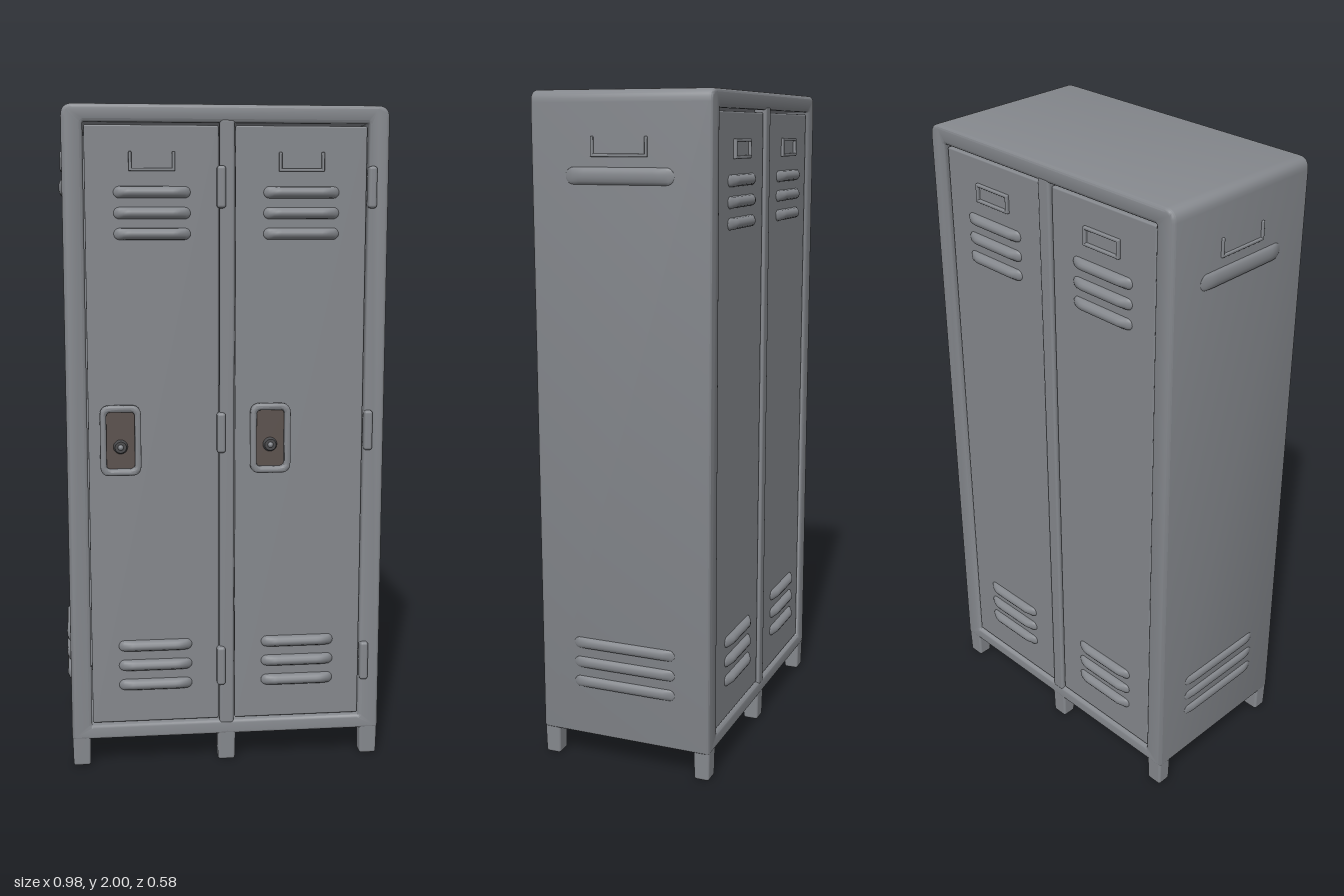
import * as THREE from 'three';
import { toCreasedNormals } from 'three/addons/utils/BufferGeometryUtils.js';
import { RoundedBoxGeometry } from 'three/addons/geometries/RoundedBoxGeometry.js';

const steel = new THREE.MeshStandardMaterial({ color: 0x85888d });
steel.name = 'grey steel';
const recess = new THREE.MeshStandardMaterial({ color: 0x5c524e });
recess.name = 'brown recess';
const dark = new THREE.MeshStandardMaterial({ color: 0x4a4a4c });
dark.name = 'dark knob';

function add(parent, name, geometry, material, x = 0, y = 0, z = 0) {
  const mesh = new THREE.Mesh(geometry, material);
  mesh.name = name;
  mesh.position.set(x, y, z);
  parent.add(mesh);
  return mesh;
}

// Rounded rectangle outline centred on (0, cy)
function roundedRect(Type, w, h, rTop, rBottom = rTop, cy = 0) {
  const s = new Type(), x = w / 2, b = cy - h / 2, t = cy + h / 2;
  s.moveTo(-x + rBottom, b);
  s.lineTo(x - rBottom, b);
  s.quadraticCurveTo(x, b, x, b + rBottom);
  s.lineTo(x, t - rTop);
  s.quadraticCurveTo(x, t, x - rTop, t);
  s.lineTo(-x + rTop, t);
  s.quadraticCurveTo(-x, t, -x, t - rTop);
  s.lineTo(-x, b + rBottom);
  s.quadraticCurveTo(-x, b, -x + rBottom, b);
  return s;
}

// Bevelled extrusion from z = 0 to z = depth that keeps the drawn outline
function extrude(shape, depth, bevel) {
  const g = new THREE.ExtrudeGeometry(shape, {
    depth: depth - 2 * bevel, bevelThickness: bevel, bevelSize: bevel,
    bevelOffset: -bevel, bevelSegments: 3, curveSegments: 6,
  });
  g.translate(0, 0, bevel);
  return toCreasedNormals(g, 0.7);
}

// Pressed louvre: a flattened pill whose depth ramps down at both ends
function louvreGeometry(w, h, depth) {
  const g = new THREE.CapsuleGeometry(h / 2, w - h, 5, 14, 16);
  g.rotateZ(Math.PI / 2);
  const p = g.attributes.position;
  for (let i = 0; i < p.count; i++) {
    const ramp = Math.min(1, (w / 2 - Math.abs(p.getX(i))) / 0.05 + 0.25);
    p.setZ(i, (p.getZ(i) / (h / 2)) * depth * ramp);
  }
  g.computeVertexNormals();
  return g;
}

function addLouvres(parent, x, heights, w, h, depth) {
  const g = louvreGeometry(w, h, depth);
  for (const y of heights) add(parent, 'louvre', g, steel, x, y, 0);
}

// Label holder: open-topped, or a full frame when closed
function addLabelHolder(parent, x, y, w, depth, closed) {
  const holder = new THREE.Group();
  holder.name = 'labelHolder';
  holder.position.set(x, y, 0);
  const h = 0.056, t = 0.009;
  const bar = new RoundedBoxGeometry(w, t, depth * 2, 2, 0.003);
  const post = new RoundedBoxGeometry(t, h, depth * 2, 2, 0.003);
  add(holder, 'holderBottom', bar, steel, 0, -h / 2 + t / 2);
  if (closed) add(holder, 'holderTop', bar, steel, 0, h / 2 - t / 2);
  for (const s of [-1, 1]) add(holder, 'holderSide', post, steel, s * (w - t) / 2);
  parent.add(holder);
}

function addHandle(door, x, y) {
  const handle = new THREE.Group();
  handle.name = 'handle';
  handle.position.set(x, y, 0);
  const rim = roundedRect(THREE.Shape, 0.122, 0.212, 0.03);
  rim.holes.push(roundedRect(THREE.Path, 0.084, 0.172, 0.014));
  add(handle, 'handleRim', extrude(rim, 0.028, 0.008), steel);
  add(handle, 'handleRecess', new THREE.BoxGeometry(0.092, 0.18, 0.008), recess, 0, 0, 0.004);
  const knob = new THREE.CylinderGeometry(0.017, 0.022, 0.014, 20).rotateX(Math.PI / 2);
  add(handle, 'knob', knob, dark, 0, -0.02, 0.014);
  const button = new THREE.SphereGeometry(0.009, 14, 8);
  add(handle, 'knobButton', button, steel, 0, -0.02, 0.019);
  door.add(handle);
}

// Door panel whose outer surface lies on local z = 0
function makePanel(name, depth, closedHolder) {
  const panel = new THREE.Group();
  panel.name = name;
  add(panel, 'panelSheet', new RoundedBoxGeometry(0.39, 1.806, 0.02, 2, 0.005), steel, 0, 1.038, -0.01);
  addLouvres(panel, 0, [1.75, 1.69, 1.63, 0.38, 0.318, 0.256], 0.225, 0.034, depth);
  addLabelHolder(panel, 0, 1.838, 0.135, 0.009, closedHolder);
  return panel;
}

export function createModel() {
  const model = new THREE.Group();
  model.name = 'locker';
  const front = 0.268, back = -0.278, depth = front - back, midZ = (front + back) / 2;

  // Hollow cabinet shell
  const shell = roundedRect(THREE.Shape, 0.96, 1.915, 0.035, 0.008, 1.0425);
  shell.holes.push(roundedRect(THREE.Path, 0.836, 1.818, 0.004, 0.004, 1.039));
  add(model, 'cabinetShell', extrude(shell, depth, 0.01), steel, 0, 0, back);

  // Centre posts
  const post = new RoundedBoxGeometry(0.044, 1.84, 0.04, 2, 0.008);
  add(model, 'frontCentrePost', post, steel, 0, 1.039, front - 0.02);
  add(model, 'backCentrePost', post, steel, 0, 1.039, back + 0.02);

  // Feet, tapering slightly towards the floor
  const foot = new RoundedBoxGeometry(0.056, 0.12, 0.05, 3, 0.008);
  const p = foot.attributes.position;
  for (let i = 0; i < p.count; i++) {
    const k = 0.94 + 0.1 * (p.getY(i) + 0.06) / 0.12;
    p.setX(i, p.getX(i) * k);
    p.setZ(i, p.getZ(i) * k);
  }
  for (const x of [-0.45, 0, 0.45])
    for (const z of [front - 0.027, back + 0.027]) add(model, 'foot', foot, steel, x, 0.06, z);

  // Front doors with handles and hinges, and matching back panels
  const hinge = new RoundedBoxGeometry(0.026, 0.122, 0.036, 3, 0.009);
  for (const s of [-1, 1]) {
    const door = makePanel('frontDoor', 0.023, false);
    door.position.set(s * 0.22, 0, 0.259);
    addHandle(door, s < 0 ? -0.1 : -0.09, 1.022);
    const hingeX = s < 0 ? 0.202 : 0.21;
    for (const y of [1.765, 1.04, 0.31]) add(door, 'hinge', hinge, steel, hingeX, y, 0.005);
    model.add(door);

    const rear = makePanel('backPanel', 0.02, true);
    rear.position.set(s * 0.22, 0, -0.27);
    rear.rotation.y = Math.PI;
    model.add(rear);
  }

  // Pressed details on both side walls
  for (const s of [-1, 1]) {
    const side = new THREE.Group();
    side.name = s > 0 ? 'leftSideDetails' : 'rightSideDetails';
    side.position.set(s * 0.48, 0, midZ);
    side.rotation.y = s * Math.PI / 2;
    addLouvres(side, 0, [1.765], 0.328, 0.048, 0.011);
    addLouvres(side, 0, [0.38, 0.318, 0.256], 0.325, 0.034, 0.011);
    addLabelHolder(side, 0, 1.845, 0.172, 0.006, false);
    model.add(side);
  }
  return model;
}
